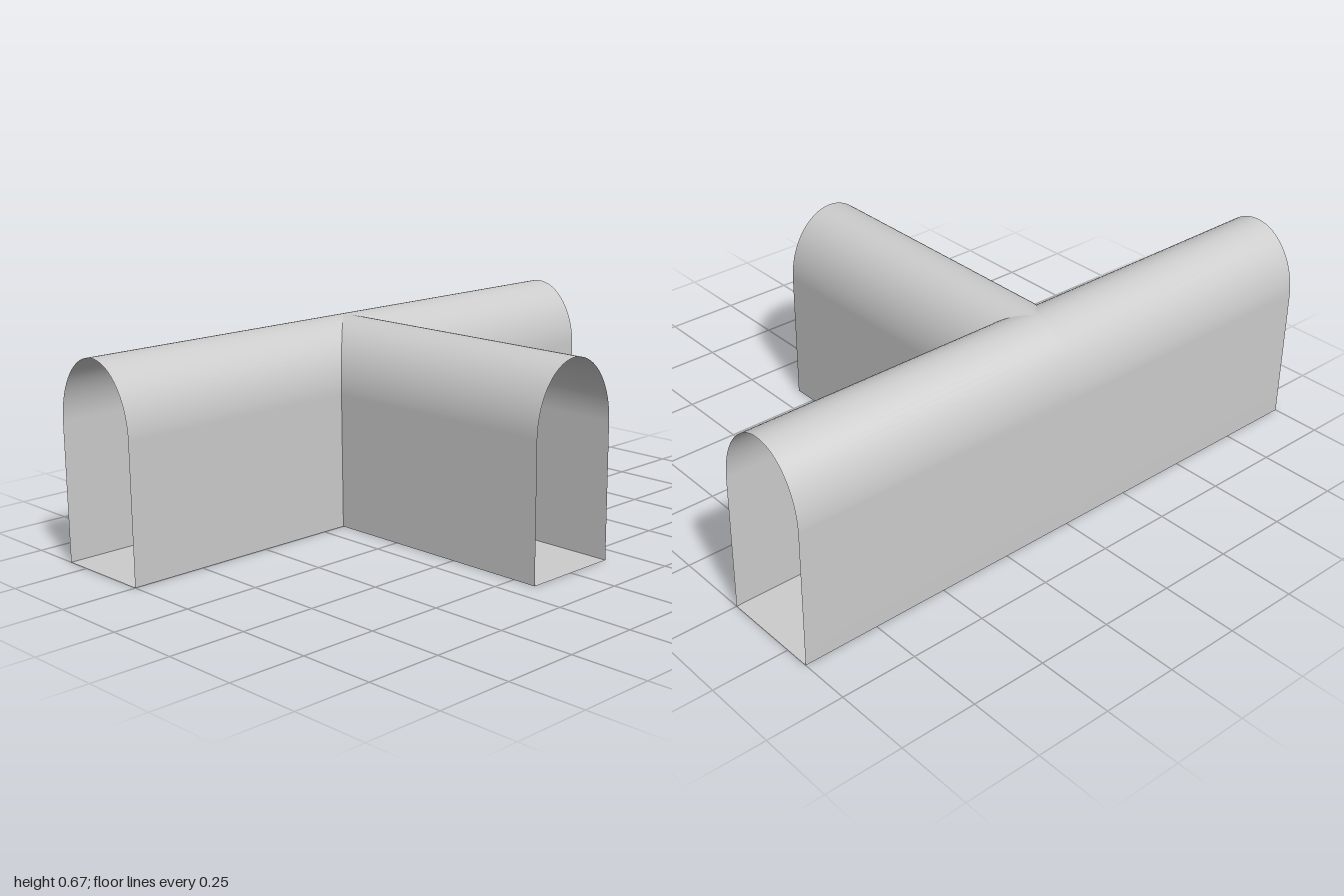
import * as THREE from 'three';

const HALF = 1 / 6;      // half width of a passage
const SPRING = 0.445;    // height where the vault begins
const TOP = 0.667;       // crown height
const LENGTH = 1;        // leg length from the junction centre
const ARC_STEPS = 36;

// Walls and elliptical vault, as [across, height] from one foot to the other
function vaultProfile() {
  const points = [[-HALF, 0]];
  for (let i = 0; i <= ARC_STEPS; i++) {
    const a = Math.PI * (1 - i / ARC_STEPS);
    points.push([HALF * Math.cos(a), SPRING + (TOP - SPRING) * Math.sin(a)]);
  }
  points.push([HALF, 0]);
  return points;
}

const floorProfile = [[HALF, 0], [0, 0], [-HALF, 0]];

// Sweep a profile along +x, mitred at the junction by start(across)
function sweep(profile, start) {
  const positions = [];
  const index = [];
  profile.forEach(([across, y], i) => {
    positions.push(start(across), y, across, LENGTH, y, across);
    if (i === 0) return;
    const a = 2 * (i - 1);
    index.push(a, a + 2, a + 1, a + 1, a + 2, a + 3);
  });
  const geometry = new THREE.BufferGeometry();
  geometry.setAttribute('position', new THREE.Float32BufferAttribute(positions, 3));
  geometry.setIndex(index);
  geometry.computeVertexNormals();
  return geometry;
}

export function createModel() {
  const grey = new THREE.MeshStandardMaterial({ color: 0xcccccc, side: THREE.DoubleSide });
  grey.name = 'light grey';

  const model = new THREE.Group();
  model.name = 'tunnelJunction';

  // Three open-ended legs meeting along diagonal groins
  const legs = [
    { name: 'sideBranch', turn: 0, start: (v) => Math.abs(v) },
    { name: 'backLeg', turn: Math.PI / 2, start: (v) => Math.max(v, 0) },
    { name: 'frontLeg', turn: -Math.PI / 2, start: (v) => Math.max(-v, 0) },
  ];
  for (const { name, turn, start } of legs) {
    const leg = new THREE.Group();
    leg.name = name;
    leg.position.x = -5 / 12;
    leg.rotation.y = turn;

    const vault = new THREE.Mesh(sweep(vaultProfile(), start), grey);
    vault.name = name + 'Vault';
    const floor = new THREE.Mesh(sweep(floorProfile, start), grey);
    floor.name = name + 'Floor';

    leg.add(vault, floor);
    model.add(leg);
  }
  return model;
}
